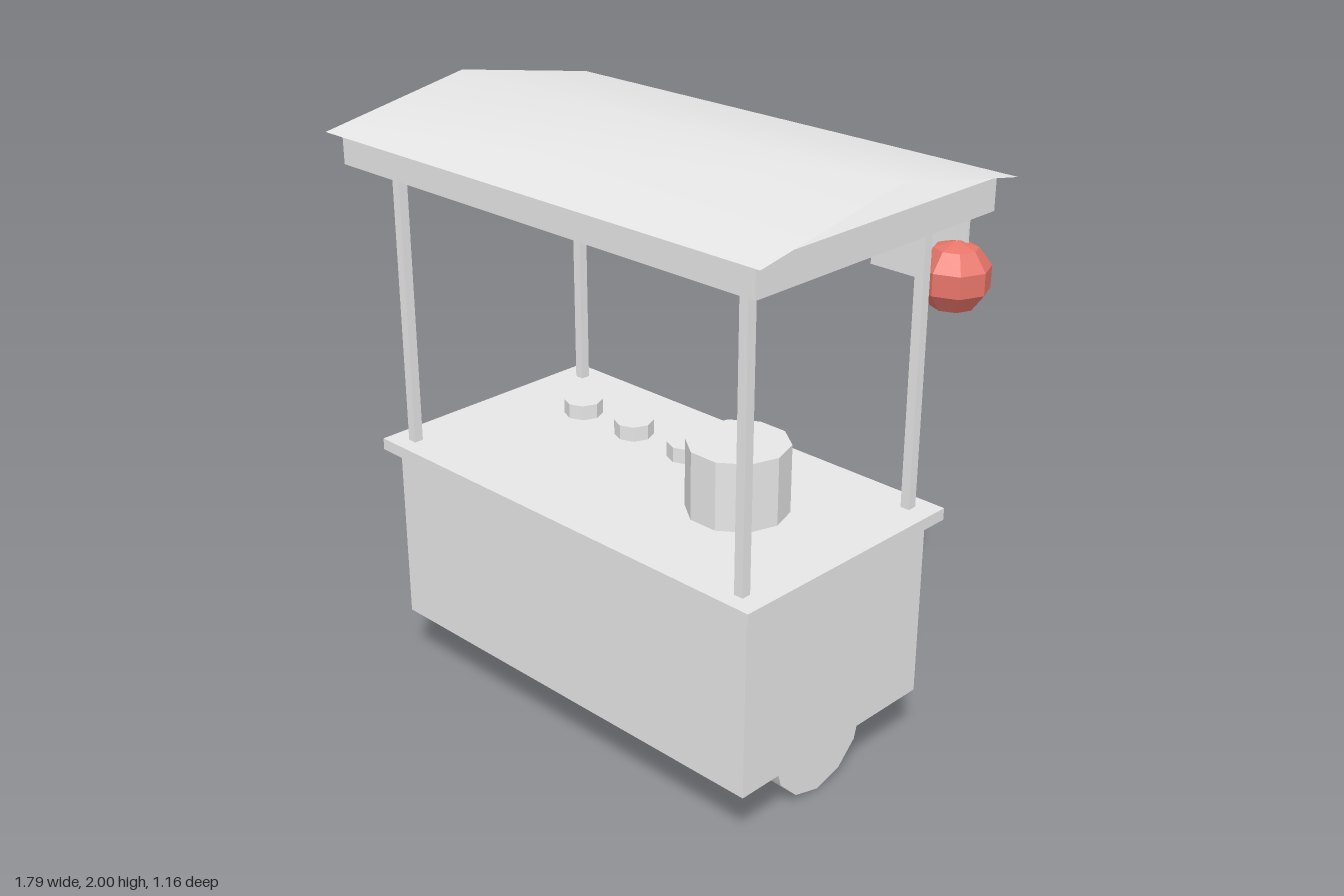
import * as THREE from 'three';

export function createModel() {
  const model = new THREE.Group();
  model.name = 'foodCart';

  const grey = new THREE.MeshStandardMaterial({ color: 0xe7e7e7, side: THREE.DoubleSide });
  grey.name = 'pale grey';
  const red = new THREE.MeshStandardMaterial({ color: 0xe8766a });
  red.name = 'lantern red';

  const add = (name, geometry, x, y, z, material = grey) => {
    const mesh = new THREE.Mesh(geometry, material);
    mesh.name = name;
    mesh.position.set(x, y, z);
    model.add(mesh);
    return mesh;
  };
  const box = (name, w, h, d, x, y, z) => add(name, new THREE.BoxGeometry(w, h, d), x, y, z);
  const faceted = (geometry) => {
    const flat = geometry.toNonIndexed();
    flat.computeVertexNormals();
    return flat;
  };
  // Upright prism with a corner pointing along x
  const prism = (r, h, sides) =>
    faceted(new THREE.CylinderGeometry(r, r, h, sides).rotateY(Math.PI / 2));

  const midZ = 0.057;

  // Body and counter
  box('body', 1.55, 0.615, 0.815, 0, 0.5125, midZ);
  box('counter', 1.63, 0.04, 0.895, 0, 0.84, midZ);

  // Wheels, posts and hanging lanterns, mirrored left and right
  for (const side of [-1, 1]) {
    const wheel = new THREE.CylinderGeometry(0.203, 0.203, 0.048, 12).rotateZ(Math.PI / 2);
    add('wheel', wheel, side * 0.697, 0.205, 0.055);

    for (const z of [0.435, -0.32]) box('post', 0.032, 0.95, 0.032, side * 0.73, 1.33, z);

    const lantern = new THREE.SphereGeometry(1, 8, 5).scale(0.115, 0.1125, 0.115);
    add('lantern', faceted(lantern), side * 0.735, 1.572, -0.473, red);
    box('lanternString', 0.004, 0.12, 0.004, side * 0.735, 1.74, -0.473);
  }

  // Roof frame and open, softly shaded gable sheet
  box('roofFrame', 1.71, 0.1, 1.023, 0, 1.85, 0.0365);
  const sheet = new THREE.PlaneGeometry(1.795, 1.1, 1, 2).rotateX(-Math.PI / 2);
  const p = sheet.attributes.position;
  for (let i = 0; i < p.count; i++) p.setY(i, Math.abs(p.getZ(i)) < 0.01 ? 0.1 : 0);
  sheet.computeVertexNormals();
  add('roof', sheet, 0, 1.9, 0.03);

  // Cloth panels along the back
  for (let i = 0; i < 4; i++) {
    box('clothPanel', 0.352, 0.277, 0.008, (i - 1.5) * 0.387, 1.6615, -0.499);
  }

  // Cooking pot and bowls
  add('pot', prism(0.163, 0.227, 10), 0.364, 0.9725, 0.055);
  for (const x of [-0.495, -0.25, -0.005]) {
    add('bowl', prism(0.066, 0.052, 8), x, 0.885, -0.106);
  }

  return model;
}
